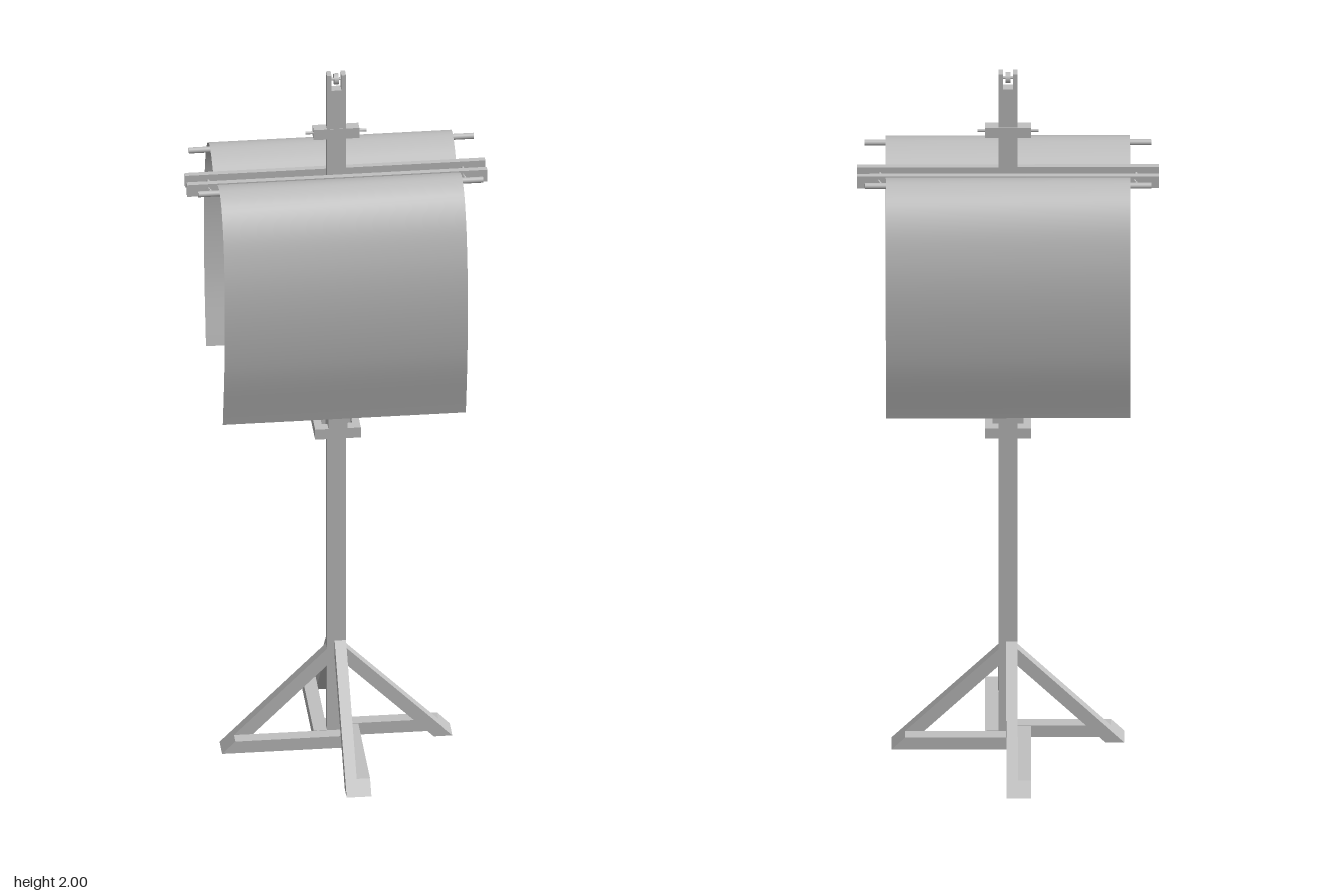
import * as THREE from 'three';

const grey = new THREE.MeshStandardMaterial({ color: 0xc0c0c0 });
grey.name = 'grey';
const sheetGrey = new THREE.MeshStandardMaterial({ color: 0xc0c0c0, side: THREE.DoubleSide });
sheetGrey.name = 'sheet grey';

// Box given by its minimum and maximum corners
function box(parent, name, [x0, y0, z0], [x1, y1, z1]) {
  const mesh = new THREE.Mesh(new THREE.BoxGeometry(x1 - x0, y1 - y0, z1 - z0), grey);
  mesh.position.set((x0 + x1) / 2, (y0 + y1) / 2, (z0 + z1) / 2);
  mesh.name = name;
  parent.add(mesh);
  return mesh;
}

// Round bar centred at a point, along x or z
function rod(parent, name, axis, length, radius, x, y, z, sides = 16) {
  const geometry = new THREE.CylinderGeometry(radius, radius, length, sides);
  if (axis === 'x') geometry.rotateZ(Math.PI / 2);
  else geometry.rotateX(Math.PI / 2);
  const mesh = new THREE.Mesh(geometry, grey);
  mesh.position.set(x, y, z);
  mesh.name = name;
  parent.add(mesh);
  return mesh;
}

// Side outline in the x-y plane, given thickness along z from z0 to z1
function slab(parent, name, points, z0, z1) {
  const shape = new THREE.Shape(points.map(([x, y]) => new THREE.Vector2(x, y)));
  const geometry = new THREE.ExtrudeGeometry(shape, { depth: z1 - z0, bevelEnabled: false });
  geometry.translate(0, 0, z0);
  const mesh = new THREE.Mesh(geometry, grey);
  mesh.name = name;
  parent.add(mesh);
}

// Leg pointing along +x: a diagonal brace beside a mitred floor beam
function makeLeg(length, postHalf, braceHalf, beamWidth) {
  const leg = new THREE.Group();
  leg.name = 'leg';
  slab(leg, 'legBrace', [[length - 0.05, 0], [length, 0], [postHalf, length - postHalf],
    [postHalf, length - postHalf - 0.05]], -braceHalf, braceHalf);
  slab(leg, 'floorBeam', [[-postHalf, 0], [length, 0], [length - 0.035, 0.035], [-postHalf, 0.035]],
    -braceHalf - beamWidth, -braceHalf);
  return leg;
}

// Curved sheet draped over its rod
function makeSheet() {
  const curve = new THREE.CatmullRomCurve3([
    [0.03, 1.7], [0.075, 1.724], [0.12, 1.734], [0.17, 1.715], [0.215, 1.66],
    [0.246, 1.57], [0.26, 1.45], [0.25, 1.27], [0.21, 1.08],
  ].map(([z, y]) => new THREE.Vector3(0, y, z)));
  const rows = 48;
  const points = curve.getSpacedPoints(rows);
  const geometry = new THREE.PlaneGeometry(0.64, 1, 1, rows);
  const position = geometry.attributes.position;
  for (let i = 0; i < position.count; i++) {
    const p = points[Math.floor(i / 2)];
    position.setXYZ(i, position.getX(i), p.y, p.z);
  }
  geometry.computeVertexNormals();
  const mesh = new THREE.Mesh(geometry, sheetGrey);
  mesh.name = 'drapedSheet';
  return mesh;
}

// Everything hung on one face of the post, built for the front
function makeSide() {
  const side = new THREE.Group();
  side.name = 'hangingSide';
  side.add(makeSheet());
  rod(side, 'sheetRod', 'x', 0.75, 0.008, 0, 1.724, 0.117);
  box(side, 'clampBar', [-0.395, 1.67, 0.017], [0.395, 1.705, 0.033]);
  for (const s of [-1, 1]) {
    // Wing nuts on the clamp bar
    rod(side, 'clampBolt', 'z', 0.05, 0.004, s * 0.335, 1.687, 0.02, 8);
    for (const w of [-1, 1]) {
      const wing = box(side, 'wing', [-0.006, -0.003, -0.005], [0.006, 0.003, 0.005]);
      wing.position.set(s * 0.335 + w * 0.007, 1.687 - w * 0.006, 0.039);
      wing.rotation.z = -w * 0.7;
    }
    // Sloping strut that carries the rod
    const strut = box(side, 'strut', [-0.012, -0.257, -0.007], [0.012, 0.257, 0.007]);
    strut.position.set(s * 0.07, 1.48, 0.061);
    strut.rotation.x = Math.atan2(0.112, 0.5);
    // Adjusting bolt with a rounded knob
    rod(side, 'strutBolt', 'z', 0.12, 0.008, s * 0.07, 1.622, 0.06);
    rod(side, 'strutCollar', 'z', 0.012, 0.016, s * 0.07, 1.622, 0.062);
    const knob = new THREE.Mesh(new THREE.SphereGeometry(0.019, 16, 10), grey);
    knob.position.set(s * 0.07, 1.622, 0.113);
    knob.name = 'strutKnob';
    side.add(knob);
  }
  // Sliding sleeve block on this face of the post
  box(side, 'sleeveBlock', [-0.025, 0.93, 0.013], [0.025, 1.22, 0.05]);
  for (const y of [0.93, 1.19]) {
    box(side, 'sleeveCrossbar', [-0.06, y, 0.022], [0.06, y + 0.03, 0.05]);
  }
  return side;
}

export function createModel() {
  const model = new THREE.Group();
  model.name = 'postStand';

  // Post with a forked top and pulley
  box(model, 'post', [-0.025, 0, -0.013], [0.025, 1.955, 0.013]);
  for (const s of [-1, 1]) {
    const edges = [s * 0.013, s * 0.025].sort((a, b) => a - b);
    box(model, 'postFork', [edges[0], 1.955, -0.013], [edges[1], 2, 0.013]);
  }
  rod(model, 'pulley', 'x', 0.012, 0.015, 0, 1.983, 0);
  rod(model, 'pulleyPin', 'x', 0.05, 0.004, 0, 1.983, 0, 8);

  // Pinwheel base
  for (const turn of [0, Math.PI]) {
    const sideLeg = makeLeg(0.305, 0.025, 0.015, 0.035);
    sideLeg.rotation.y = turn;
    const frontLeg = makeLeg(0.315, 0.013, 0.015, 0.035);
    // The front and back braces sit slightly off the centre line
    frontLeg.rotation.y = turn - Math.PI / 2;
    frontLeg.position.x = turn ? -0.01 : 0.01;
    model.add(sideLeg, frontLeg);
  }

  // Upper cross block and its pin
  box(model, 'crossBlock', [-0.06, 1.81, -0.014], [0.06, 1.84, 0.014]);
  rod(model, 'crossPin', 'x', 0.16, 0.004, 0, 1.825, 0, 8);

  // Strut carrier and sleeve ends beside the post
  box(model, 'upperBlock', [-0.085, 1.6, -0.05], [0.085, 1.645, 0.05]);
  for (const s of [-1, 1]) {
    const [a, b] = [s * 0.025, s * 0.058].sort((p, q) => p - q);
    box(model, 'strutCarrier', [a, 1.23, -0.05], [b, 1.34, 0.05]);
    const [c, d] = [s * 0.04, s * 0.06].sort((p, q) => p - q);
    for (const y of [0.93, 1.19]) box(model, 'sleeveEnd', [c, y, -0.022], [d, y + 0.03, 0.022]);
  }
  rod(model, 'hingePin', 'x', 0.17, 0.006, 0, 1.24, 0, 10);

  // Matching front and back sides
  const front = makeSide();
  const back = makeSide();
  back.rotation.y = Math.PI;
  model.add(front, back);
  return model;
}
